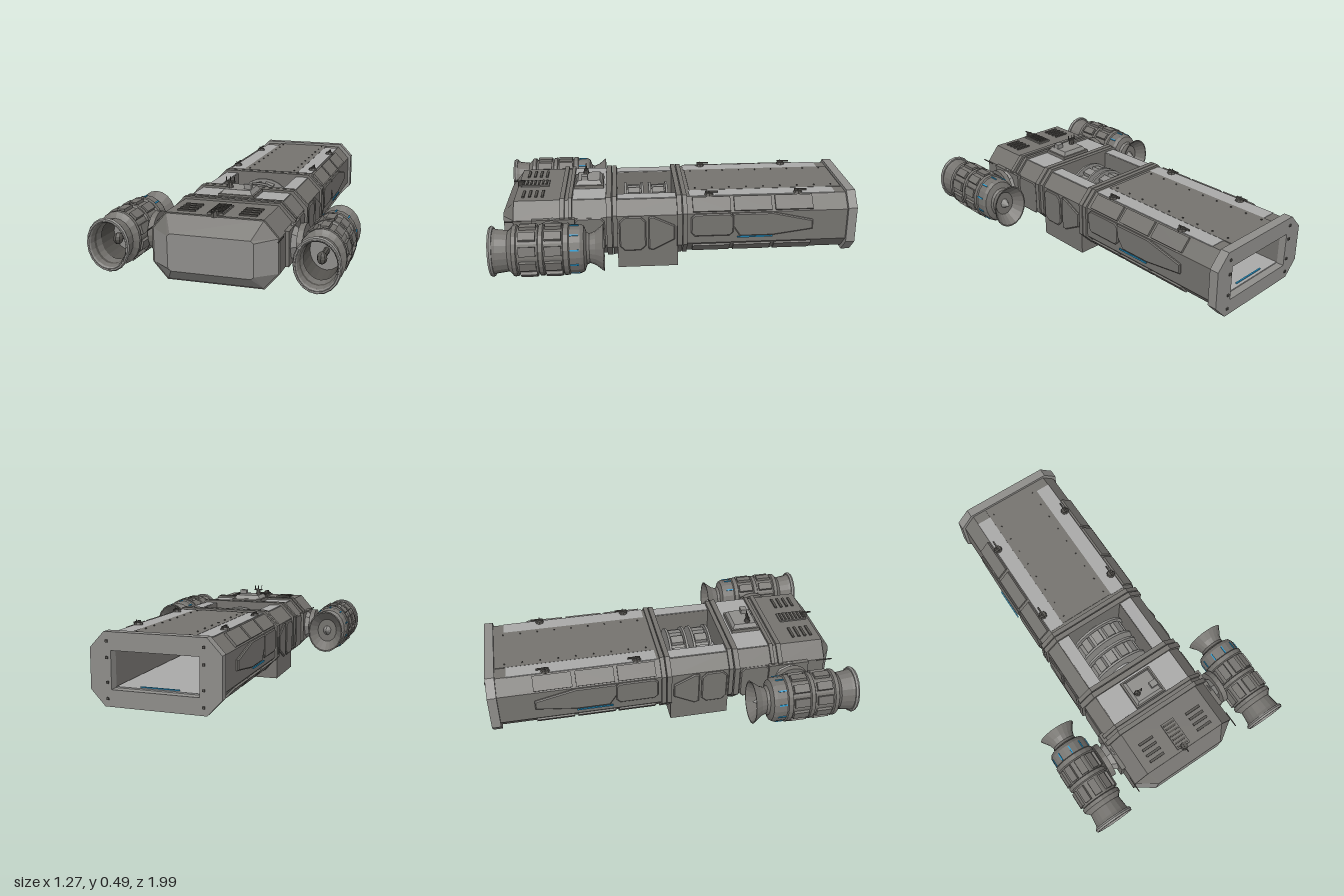
import * as THREE from 'three';

const mat = (name, color) => new THREE.MeshStandardMaterial({ name, color, flatShading: true, side: THREE.DoubleSide });

export function createModel() {
  const hull = mat('hullGrey', 0x75736f), dark = mat('darkGrey', 0x55534f);
  const mid = mat('midGrey', 0x8e8d8a), light = mat('lightGrey', 0xa9a9a8), blue = mat('blueGlow', 0x2a9fd6);
  const root = new THREE.Group();

  const add = (name, geo, m, x = 0, y = 0, z = 0, parent = root) => {
    const o = new THREE.Mesh(geo, m);
    o.name = name;
    o.position.set(x, y, z);
    parent.add(o);
    return o;
  };
  const box = (name, m, w, h, d, x, y, z, parent) => add(name, new THREE.BoxGeometry(w, h, d), m, x, y, z, parent);

  // Eight corners of a chamfered rectangle
  const octagon = (w, y0, y1, cx, cy) => [
    [w, y0 + cy], [w, y1 - cy], [w - cx, y1], [cx - w, y1],
    [-w, y1 - cy], [-w, y0 + cy], [cx - w, y0], [w - cx, y0]];
  const toShape = pts => new THREE.Shape(pts.map(p => new THREE.Vector2(p[0], p[1])));
  const rectHole = (w, y0, y1) => new THREE.Path([[-w, y0], [-w, y1], [w, y1], [w, y0]].map(p => new THREE.Vector2(p[0], p[1])));
  const extrude = (name, pts, z0, z1, m, hole) => {
    const s = toShape(pts);
    if (hole) s.holes.push(hole);
    return add(name, new THREE.ExtrudeGeometry(s, { depth: z1 - z0, bevelEnabled: false }), m, 0, 0, z0);
  };
  // Raised bevelled panel on both flanks, outlined in (z, y)
  const sidePanel = (name, pts, x, t, m) => {
    for (const s of [-1, 1]) {
      const geo = new THREE.ExtrudeGeometry(toShape(pts.map(([z, y]) => [-s * z, y])),
        { depth: t, bevelEnabled: true, bevelSize: 0.006, bevelThickness: 0.005, bevelSegments: 1 });
      add(name, geo, m, s * x, 0, 0).rotation.y = s * Math.PI / 2;
    }
  };
  const clipRect = (z0, z1, y0, y1, c = 0.018) => [
    [z0 + c, y0], [z1 - c, y0], [z1, y0 + c], [z1, y1 - c], [z1 - c, y1], [z0 + c, y1], [z0, y1 - c], [z0, y0 + c]];

  // Cargo hold, hollow from the rear
  extrude('cargoHull', octagon(0.318, 0.06, 0.388, 0.07, 0.075), -0.95, -0.04, hull, rectHole(0.225, 0.125, 0.315));
  extrude('rearFlange', octagon(0.335, 0.04, 0.405, 0.075, 0.08), -0.99, -0.94, mid, rectHole(0.225, 0.125, 0.315));
  box('holdFloor', light, 0.44, 0.006, 0.86, 0, 0.129, -0.52);
  box('holdBulkhead', dark, 0.45, 0.19, 0.01, 0, 0.22, -0.06);
  box('holdGuideLight', blue, 0.2, 0.006, 0.008, 0, 0.134, -0.93);
  box('cargoRoofPanel', hull, 0.33, 0.008, 0.87, 0, 0.388, -0.5);
  for (const s of [-1, 1]) {
    box('roofStrip', light, 0.085, 0.006, 0.82, s * 0.207, 0.388, -0.47);
    for (let i = 0; i < 9; i++) box('roofRivet', dark, 0.007, 0.006, 0.007, s * 0.137, 0.394, -0.885 + i * 0.098);
    for (const z of [-0.18, -0.41, -0.64]) {
      box('shoulderPad', hull, 0.085, 0.022, 0.21, s * 0.285, 0.351, z).rotation.z = -s * 0.82;
      box('lowerPad', hull, 0.07, 0.016, 0.21, s * 0.285, 0.096, z).rotation.z = s * 0.82;
    }
    // Small roof aerials
    for (const z of [-0.67, -0.17]) {
      add('aerialBase', new THREE.CylinderGeometry(0.02, 0.026, 0.014, 8), dark, s * 0.235, 0.396, z);
      box('aerialArm', dark, 0.008, 0.008, 0.07, s * 0.235, 0.408, z - 0.015);
      box('aerialRod', dark, 0.004, 0.02, 0.004, s * 0.245, 0.405, z);
    }
    // Flange bolts
    for (const y of [0.08, 0.16, 0.28, 0.36]) box('flangeBolt', dark, 0.012, 0.012, 0.012, s * 0.245, y, -0.99);
  }
  sidePanel('cargoSidePanel', clipRect(-0.295, -0.07, 0.185, 0.305), 0.315, 0.01, hull);
  sidePanel('arrowPanel', [[-0.3, 0.305], [-0.52, 0.305], [-0.74, 0.255], [-0.74, 0.21], [-0.52, 0.18], [-0.34, 0.18], [-0.3, 0.24]], 0.315, 0.01, hull);
  for (const s of [-1, 1]) box('sideLight', blue, 0.006, 0.008, 0.2, s * 0.333, 0.172, -0.42);

  // Collars joining the sections
  for (const [z0, z1, w] of [[-0.045, -0.02, 0.33], [-0.015, 0.012, 0.33], [0.34, 0.365, 0.328], [0.37, 0.4, 0.335], [0.585, 0.605, 0.326], [0.625, 0.65, 0.332]])
    extrude('collar', octagon(w, 0.05, 0.4, 0.078, 0.082), z0, z1, hull);

  // Winch bay with open well
  extrude('winchBay', [[0.317, 0], [0.317, 0.31], [0.25, 0.382], [0.175, 0.382], [0.175, 0.04], [-0.175, 0.04],
    [-0.175, 0.382], [-0.25, 0.382], [-0.317, 0.31], [-0.317, 0]], 0.008, 0.342, hull);
  for (const s of [-1, 1]) box('bayTopStrip', light, 0.07, 0.006, 0.325, s * 0.212, 0.383, 0.176);
  sidePanel('bayPanel', clipRect(0.19, 0.325, 0.11, 0.3, 0.025), 0.312, 0.01, hull);
  sidePanel('bayTaperPanel', [[0.165, 0.115], [0.165, 0.295], [0.145, 0.3], [0.03, 0.245], [0.03, 0.17], [0.145, 0.11]], 0.312, 0.01, hull);

  // Twin drum lying along z
  const drum = new THREE.Group();
  drum.name = 'winchDrum';
  drum.position.set(0, 0.205, 0.172);
  root.add(drum);
  const disc = (name, r, z0, z1, m, n = 24) =>
    add(name, new THREE.CylinderGeometry(r, r, z1 - z0, n), m, 0, 0, (z0 + z1) / 2, drum).rotation.x = Math.PI / 2;
  disc('drumAxle', 0.055, -0.165, 0.165, light);
  for (const z of [-0.07, 0.07]) {
    disc('drumCore', 0.13, z - 0.055, z + 0.055, mid);
    for (const e of [-0.055, 0.042]) disc('drumFlange', 0.168, z + e, z + e + 0.013, mid);
    for (let i = 0; i < 12; i++) {
      const a = (i + 0.5) * Math.PI / 6;
      box('drumBlock', mid, 0.05, 0.025, 0.07, Math.sin(a) * 0.14, Math.cos(a) * 0.14, z, drum).rotation.z = -a;
    }
  }

  // Forward hull
  extrude('neckHull', octagon(0.318, 0.06, 0.386, 0.07, 0.08), 0.395, 0.63, hull);
  box('neckRoofPlate', light, 0.49, 0.006, 0.18, 0, 0.386, 0.493);
  extrude('cabinHull', octagon(0.322, 0.045, 0.388, 0.075, 0.085), 0.63, 0.9, hull);
  sidePanel('neckPanel', clipRect(0.415, 0.57, 0.11, 0.3), 0.312, 0.008, hull);

  // Faceted nose
  const back = octagon(0.322, 0.045, 0.388, 0.075, 0.085), front = octagon(0.215, 0.115, 0.302, 0.015, 0.012);
  const noseFaces = (name, idx, m) => {
    const v = [];
    for (const i of idx) {
      const j = (i + 1) % 8;
      const [a, b, c, d] = [[...back[i], 0.895], [...back[j], 0.895], [...front[j], 0.968], [...front[i], 0.968]];
      v.push(...a, ...b, ...c, ...a, ...c, ...d);
    }
    const g = new THREE.BufferGeometry();
    g.setAttribute('position', new THREE.Float32BufferAttribute(v, 3));
    g.computeVertexNormals();
    add(name, g, m);
  };
  noseFaces('noseUpperBevel', [1, 2, 3], hull);
  noseFaces('noseSideBevel', [0, 4, 5, 6, 7], mid);
  add('noseFace', new THREE.ShapeGeometry(toShape(front)), mid, 0, 0, 0.968);

  // Roof vents and ladder plate
  for (const s of [-1, 1]) for (let i = 0; i < 4; i++) box('ventSlat', dark, 0.09, 0.012, 0.014, s * 0.155, 0.39, 0.75 + i * 0.035);
  box('ladderPlate', hull, 0.08, 0.012, 0.16, 0, 0.391, 0.805);
  for (let i = 0; i < 7; i++) box('ladderRung', dark, 0.065, 0.008, 0.01, 0, 0.399, 0.74 + i * 0.022);
  add('noseSensor', new THREE.CylinderGeometry(0.018, 0.022, 0.03, 8), dark, 0, 0.395, 0.885);
  box('noseSensorRod', dark, 0.006, 0.008, 0.05, 0, 0.41, 0.9);

  // Roof sensor turret
  const turret = new THREE.CylinderGeometry(0.1, 0.135, 0.04, 4, 1).rotateY(Math.PI / 4).scale(1, 1, 0.88);
  add('turretBase', turret, mid, 0, 0.41, 0.497);
  box('turretFoot', hull, 0.19, 0.02, 0.165, 0, 0.398, 0.497);
  box('turretBox', mid, 0.04, 0.025, 0.035, 0.05, 0.443, 0.52);
  add('turretMast', new THREE.CylinderGeometry(0.012, 0.018, 0.03, 8), dark, -0.05, 0.443, 0.515);
  box('mastBar', dark, 0.05, 0.008, 0.01, -0.05, 0.46, 0.515);
  for (const x of [-0.072, -0.05, -0.028]) box('mastRod', dark, 0.004, 0.03, 0.004, x, 0.47, 0.515);

  // Engines on pylons
  const profile = [[0.1, 0.9], [0.108, 0.965], [0.112, 0.985], [0.122, 0.996], [0.128, 0.99], [0.118, 0.96], [0.11, 0.9],
    [0.122, 0.888], [0.138, 0.875], [0.138, 0.855], [0.128, 0.85], [0.128, 0.745], [0.139, 0.74], [0.139, 0.72],
    [0.128, 0.715], [0.128, 0.62], [0.14, 0.615], [0.14, 0.59], [0.132, 0.585], [0.132, 0.53], [0.122, 0.512],
    [0.088, 0.5], [0.08, 0.485], [0.092, 0.455], [0.128, 0.412], [0.12, 0.412], [0.07, 0.47], [0, 0.47]];
  for (const s of [-1, 1]) {
    const e = new THREE.Group();
    e.name = s > 0 ? 'leftEngine' : 'rightEngine';
    e.position.set(s * 0.516, 0.223, 0);
    e.scale.x = 0.83;
    root.add(e);
    const pts = profile.map(([r, z]) => new THREE.Vector2(r, z)).reverse();
    add('nacelle', new THREE.LatheGeometry(pts, 20).rotateX(Math.PI / 2), hull, 0, 0, 0, e);
    add('intakeLip', new THREE.TorusGeometry(0.125, 0.012, 6, 20), mid, 0, 0, 0.985, e);
    add('intakeDuct', new THREE.CylinderGeometry(0.106, 0.098, 0.2, 20, 1, true).rotateX(Math.PI / 2), dark, 0, 0, 0.86, e);
    add('intakeBack', new THREE.CircleGeometry(0.1, 20), mid, 0, 0, 0.77, e);
    add('intakeSpinner', new THREE.SphereGeometry(0.03, 8, 6), dark, 0, 0, 0.88, e);
    add('spinnerShaft', new THREE.CylinderGeometry(0.018, 0.018, 0.11, 8).rotateX(Math.PI / 2), dark, 0, 0, 0.82, e);
    add('exhaustCone', new THREE.ConeGeometry(0.035, 0.06, 10).rotateX(-Math.PI / 2), mid, 0, 0, 0.45, e);
    for (let i = 0; i < 10; i++) {
      const a = i * Math.PI / 5, x = Math.sin(a), y = Math.cos(a);
      for (const z of [0.667, 0.797]) box('nacellePad', hull, 0.05, 0.02, 0.085, x * 0.131, y * 0.131, z, e).rotation.z = -a;
      box('nacelleLight', blue, 0.008, 0.006, 0.045, x * 0.133, y * 0.133, 0.56, e).rotation.z = -a;
    }
    // Pylon: hull plate, tapered strut and round pivot
    sidePylon(s);
  }
  function sidePylon(s) {
    box('pylonPlate', hull, 0.025, 0.18, 0.23, s * 0.327, 0.22, 0.685);
    add('pylonStrut', new THREE.CylinderGeometry(0.06, 0.1, 0.05, 8).rotateZ(-s * Math.PI / 2), mid, s * 0.35, 0.22, 0.69);
    add('pylonPivot', new THREE.CylinderGeometry(0.1, 0.1, 0.03, 20).rotateZ(Math.PI / 2), hull, s * 0.385, 0.222, 0.69);
    box('pylonArm', dark, 0.04, 0.08, 0.1, s * 0.405, 0.222, 0.69);
    box('cabinProbe', dark, 0.005, 0.006, 0.09, s * 0.325, 0.3, 0.9);
  }
  return root;
}
